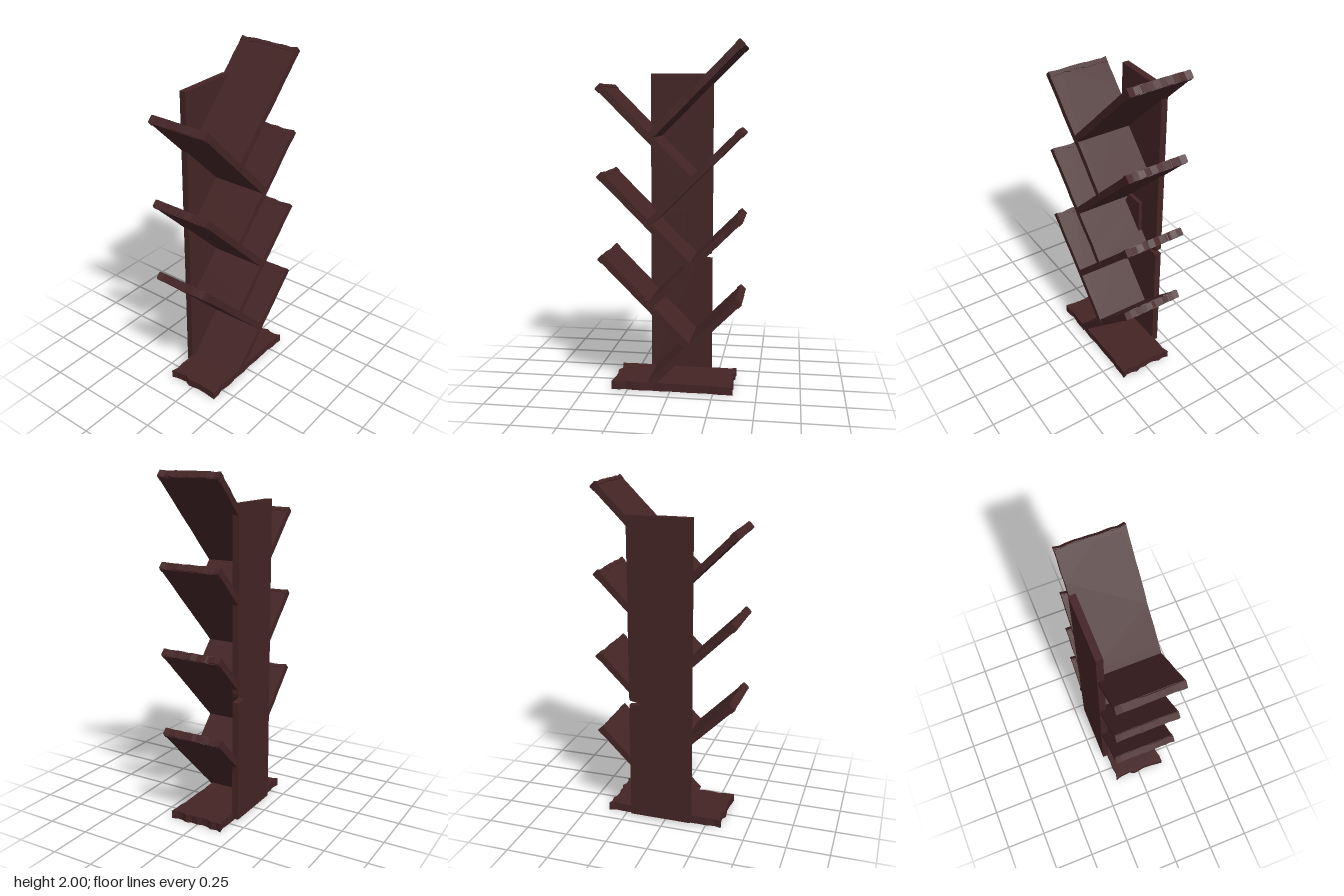
import * as THREE from 'three';

// Repeatable jitter for worn edges
let seed = 7;
function rnd() {
  seed = (seed * 16807) % 2147483647;
  return seed / 2147483647;
}

const wood = new THREE.MeshStandardMaterial({ color: 0x442425 });
wood.name = 'dark wood';

function extrude(points, depth) {
  const shape = new THREE.Shape(points.map(([x, y]) => new THREE.Vector2(x, y)));
  return new THREE.ExtrudeGeometry(shape, { depth, bevelEnabled: false });
}

// Points from a to b, pushed inwards (left of travel) by random wear
function wornEdge(a, b, count, wear) {
  const dx = b[0] - a[0], dy = b[1] - a[1], len = Math.hypot(dx, dy);
  const pts = [];
  for (let i = 0; i < count; i++) {
    const t = i / count;
    const d = i === 0 ? 0 : rnd() * wear;
    pts.push([a[0] + dx * t - (dy / len) * d, a[1] + dy * t + (dx / len) * d]);
  }
  return pts;
}

// Board lying flat, centred on y = 0, with plan corners x0..x1 and z0..z1
function board(name, x0, x1, z0, z1, thick, edges) {
  const c = [[x0, -z1], [x1, -z1], [x1, -z0], [x0, -z0]];
  const pts = c.flatMap((p, i) => wornEdge(p, c[(i + 1) % 4], edges[i][0], edges[i][1]));
  const geo = extrude(pts, thick);
  geo.translate(0, 0, -thick / 2);
  geo.rotateX(-Math.PI / 2);
  const mesh = new THREE.Mesh(geo, wood);
  mesh.name = name;
  return mesh;
}

// Sloping shelf from a start point to its tip, with a thicker worn lip
function shelf(name, x0, y0, x1, y1) {
  const g = new THREE.Group();
  g.name = name;
  const len = Math.hypot(x1 - x0, y1 - y0);
  g.add(board('shelfBoard', 0, len, -0.186, 0.185, 0.039, [[12, 0.003], [10, 0.008], [12, 0.003], [1, 0]]));
  g.add(board('shelfLip', len - 0.034, len - 0.004, -0.184, 0.183, 0.047, [[2, 0.003], [12, 0.008], [2, 0.003], [12, 0.012]]));
  g.position.set(x0, y0, 0);
  g.rotation.z = Math.atan2(y1 - y0, x1 - x0);
  return g;
}

export function createModel() {
  const model = new THREE.Group();
  model.name = 'treeBookshelf';

  // Base slab with ragged ends
  const base = board('base', -0.345, 0.365, -0.162, 0.17, 0.048, [[16, 0.012], [10, 0.02], [16, 0.012], [10, 0.02]]);
  base.position.y = 0.024;
  model.add(base);

  // Upright back panel with a split in its +x edge
  const panel = new THREE.Mesh(extrude([
    [-0.16, 0.015], [0.21, 0.015], [0.21, 0.73], [0.15, 0.737], [0.135, 0.745],
    [0.17, 0.753], [0.205, 0.76], [0.21, 0.78], [0.21, 1.83], [-0.16, 1.83],
  ], 0.039), wood);
  panel.name = 'backPanel';
  panel.position.z = -0.189;
  model.add(panel);

  // Small raised patch on the panel
  const patch = new THREE.Mesh(extrude([
    [-0.09, 0.95], [0.06, 0.8], [0.06, 1.03], [-0.05, 1.03],
  ], 0.025), wood);
  patch.name = 'panelPatch';
  patch.position.z = -0.152;
  model.add(patch);

  // Shelves alternate at 45 degrees: y = x + rise to one side, y = fall - x to the other
  const rises = [0.158, 0.624, 1.105, 1.587];
  const falls = [0.39, 0.861, 1.353];
  rises.forEach((rise, i) => {
    const x0 = i === 0 ? -0.112 : (falls[i - 1] - rise) / 2;
    model.add(shelf('leftShelf' + (i + 1), x0, x0 + rise, 0.4, 0.4 + rise));
  });
  falls.forEach((fall, i) => {
    const x0 = (fall - rises[i]) / 2;
    model.add(shelf('rightShelf' + (i + 1), x0, fall - x0, -0.401, fall + 0.401));
  });

  return model;
}
